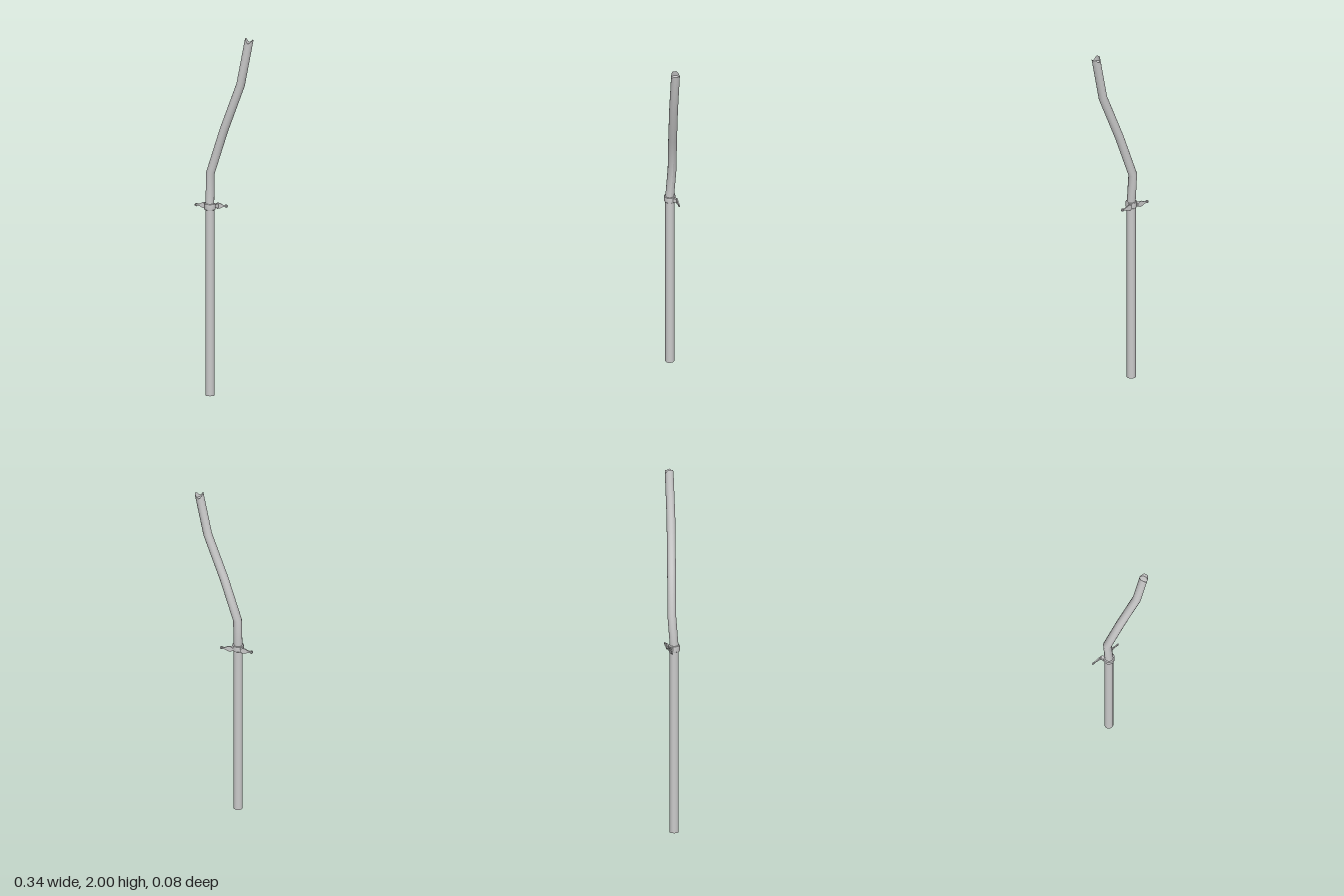
import * as THREE from 'three';

export function createModel() {
  const group = new THREE.Group();
  const mat = new THREE.MeshStandardMaterial({ color: 0xcccccc });
  const thin = new THREE.MeshStandardMaterial({ color: 0xcccccc, side: THREE.DoubleSide });
  const px = -0.08, pz = -0.006, clampY = 1.05;

  const add = (name, geometry, material = mat, x = 0, y = 0, z = 0) => {
    const mesh = new THREE.Mesh(geometry, material);
    mesh.name = name;
    mesh.position.set(x, y, z);
    group.add(mesh);
    return mesh;
  };

  // Straight lower pipe
  add('lowerPipe', new THREE.CylinderGeometry(0.025, 0.025, 1.05, 20), mat, px, 0.525, pz);

  // Bent upper pipe: one ring per bend, the last ring is jagged like a broken end
  const path = [
    [px, 1.04, -0.004], [px, 1.235, -0.019], [0, 1.48, -0.002],
    [0.098, 1.74, 0.017], [0.141, 1.965, 0.018], [0.146, 1.99, 0.018],
  ].map(p => new THREE.Vector3(...p));
  const sides = 16, radius = 0.024;
  const jag = [0.006, 0.009, 0.002, -0.012, -0.016, -0.006, 0.005, 0.008,
    0.004, 0.007, 0, -0.01, -0.014, -0.004, 0.006, 0.003];
  const positions = [], index = [];
  path.forEach((p, i) => {
    const before = p.clone().sub(path[Math.max(i - 1, 0)]).normalize();
    const after = path[Math.min(i + 1, path.length - 1)].clone().sub(p).normalize();
    const t = before.add(after).normalize();
    const u = new THREE.Vector3(0, 0, 1).cross(t).negate().normalize();
    const v = u.clone().cross(t).normalize();
    for (let j = 0; j <= sides; j++) {
      const a = (j / sides) * Math.PI * 2;
      const q = p.clone().addScaledVector(u, Math.cos(a) * radius).addScaledVector(v, Math.sin(a) * radius);
      if (i === path.length - 1) q.addScaledVector(t, jag[j % sides]);
      positions.push(q.x, q.y, q.z);
      if (i < path.length - 1 && j < sides) {
        const k = i * (sides + 1) + j, n = k + sides + 1;
        index.push(k, n, k + 1, k + 1, n, n + 1);
      }
    }
  });
  const upper = new THREE.BufferGeometry();
  upper.setAttribute('position', new THREE.Float32BufferAttribute(positions, 3));
  upper.setIndex(index);
  upper.computeVertexNormals();
  add('upperPipe', upper, thin);

  // Floor just inside the broken end
  const floor = add('pipeEndFloor', new THREE.CircleGeometry(radius * 0.98, sides), thin);
  floor.position.copy(path[4]);
  floor.quaternion.setFromUnitVectors(new THREE.Vector3(0, 0, 1),
    path[4].clone().sub(path[3]).normalize());

  // Clamp band around the joint
  const band = [[0.024, -0.017], [0.029, -0.017], [0.031, -0.014], [0.031, 0.014],
    [0.029, 0.017], [0.022, 0.017]].map(p => new THREE.Vector2(...p));
  add('clampBand', new THREE.LatheGeometry(band, 24), thin, px, clampY, pz);

  // Mirrored wall ears: wide near the band, narrow neck, round drilled tip
  for (const s of [-1, 1]) {
    const ear = new THREE.Shape();
    ear.moveTo(0.02 * s, -0.008);
    ear.lineTo(0.035 * s, -0.017);
    ear.lineTo(0.048 * s, -0.015);
    ear.lineTo(0.068 * s, -0.005);
    ear.lineTo(0.077 * s, -0.005);
    for (let k = 0; k <= 8; k++) {
      const a = -Math.PI * 0.7 + (k / 8) * Math.PI * 1.4;
      ear.lineTo((0.084 + Math.cos(a) * 0.009) * s, Math.sin(a) * 0.009);
    }
    ear.lineTo(0.077 * s, 0.005);
    ear.lineTo(0.068 * s, 0.005);
    ear.lineTo(0.048 * s, 0.015);
    ear.lineTo(0.035 * s, 0.017);
    ear.lineTo(0.02 * s, 0.008);
    const hole = new THREE.Path();
    hole.absarc(0.084 * s, 0, 0.0035, 0, Math.PI * 2);
    ear.holes.push(hole);
    add(s < 0 ? 'rightEar' : 'leftEar',
      new THREE.ExtrudeGeometry(ear, { depth: 0.006, bevelEnabled: false, curveSegments: 10 }),
      mat, px, clampY, -0.04);

    // Wedge joining the ear to the band
    const wedge = new THREE.Shape();
    wedge.moveTo(0.018 * s, 0.036);
    wedge.lineTo(0.042 * s, 0.036);
    wedge.lineTo(0.027 * s, 0.016);
    wedge.lineTo(0.02 * s, 0.02);
    const g = new THREE.ExtrudeGeometry(wedge, { depth: 0.022, bevelEnabled: false });
    g.rotateX(-Math.PI / 2);
    add(s < 0 ? 'rightWedge' : 'leftWedge', g, mat, px, clampY - 0.011, 0);
  }
  return group;
}
